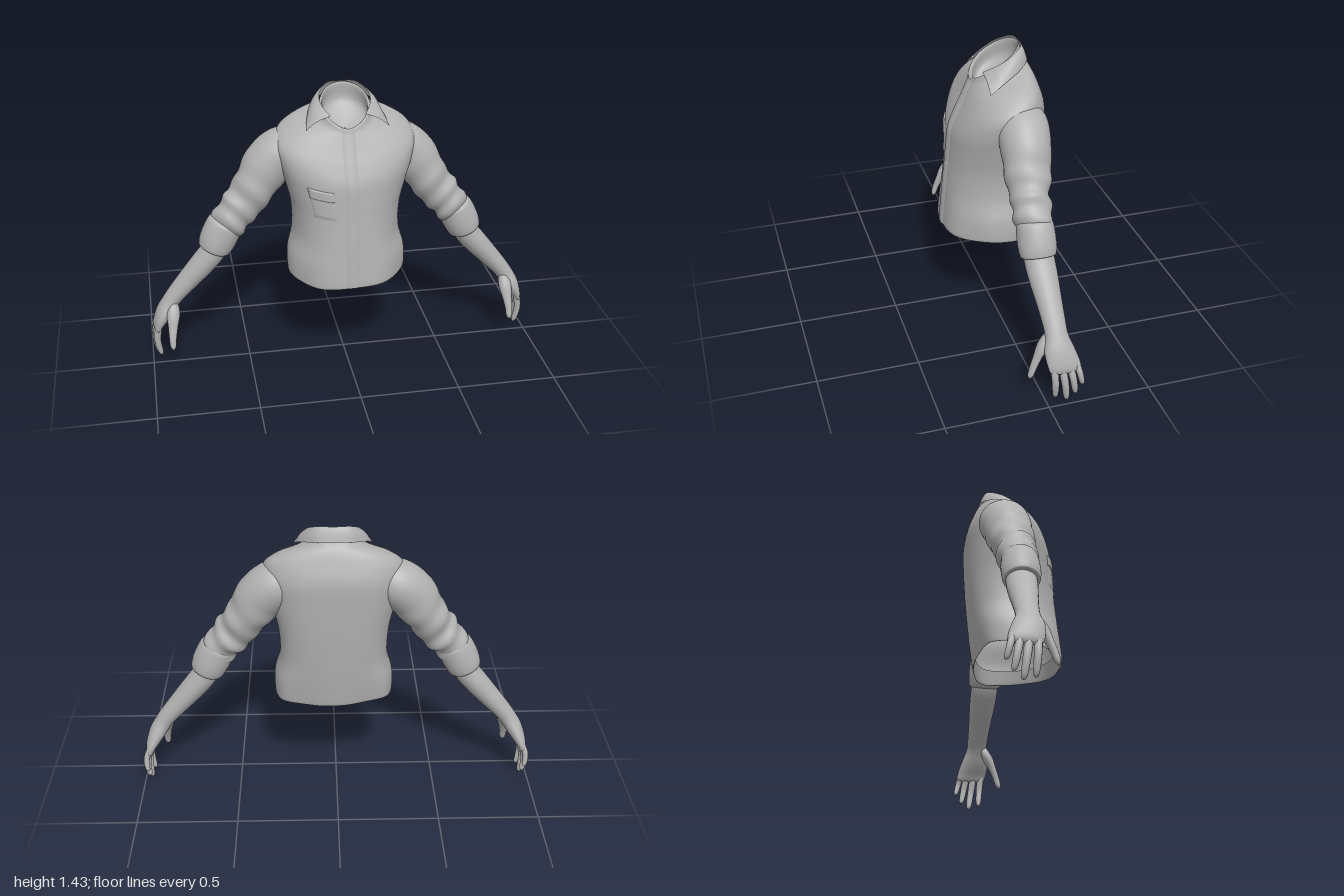
import * as THREE from 'three';

const cloth = new THREE.MeshStandardMaterial({ color: 0xb2b2b2, side: THREE.DoubleSide });
cloth.name = 'plain grey';

// Smooth interpolation through rows of numbers; t runs from 0 to rows.length - 1
function sample(rows, t) {
  const n = rows.length - 1;
  const i = Math.min(Math.floor(t), n - 1), f = t - i;
  const row = (k) => rows[Math.max(0, Math.min(n, k))];
  return rows[i].map((b, c) => {
    const a = row(i - 1)[c], d = row(i + 1)[c], e = row(i + 2)[c];
    return b + 0.5 * f * (d - a + f * (2 * a - 5 * b + 4 * d - e + f * (3 * (b - d) + e - a)));
  });
}

// Surface from a point rule over u and v in 0..1; closed joins v = 1 to v = 0
function surface(name, point, nu, nv, closed = false) {
  const pos = [], idx = [], cols = closed ? nv : nv + 1;
  for (let i = 0; i <= nu; i++) {
    for (let j = 0; j < cols; j++) pos.push(...point(i / nu, j / nv));
  }
  for (let i = 0; i < nu; i++) {
    for (let j = 0; j < nv; j++) {
      const k = (j + 1) % cols;
      const a = i * cols + j, b = i * cols + k, c = a + cols, d = b + cols;
      idx.push(a, c, b, b, c, d);
    }
  }
  const g = new THREE.BufferGeometry();
  g.setAttribute('position', new THREE.Float32BufferAttribute(pos, 3));
  g.setIndex(idx);
  g.computeVertexNormals();
  const mesh = new THREE.Mesh(g, cloth);
  mesh.name = name;
  return mesh;
}

// Limb through rows of [x, y, z, radius across, radius in z]; side mirrors it
function limb(name, rows, side, nu = 40, nv = 28, fold = () => 0) {
  const n = rows.length - 1;
  return surface(name, (u, v) => {
    const t = u * n, a = -side * v * Math.PI * 2;
    const [x, y, z, ru, rv] = sample(rows, t);
    const p = sample(rows, Math.max(0, t - 0.3)), q = sample(rows, Math.min(n, t + 0.3));
    const dx = q[0] - p[0], dy = q[1] - p[1], len = Math.hypot(dx, dy) || 1;
    const w = fold(t, a), c = Math.cos(a) * (ru + w), s = Math.sin(a) * (rv + w);
    return [side * (x - dy / len * c), y + dx / len * c, z + s];
  }, nu, nv, true);
}

// Torso sections: half width, y front, y back, z front, z back, squareness of the back
const torsoRows = [
  [0.275, 0.56, 0.56, 0.222, -0.175, 0.8],
  [0.292, 0.485, 0.49, 0.243, -0.182, 0.8],
  [0.299, 0.50, 0.50, 0.249, -0.19, 0.8],
  [0.297, 0.59, 0.60, 0.24, -0.205, 0.78],
  [0.27, 0.70, 0.72, 0.228, -0.22, 0.75],
  [0.275, 0.82, 0.88, 0.214, -0.235, 0.72],
  [0.307, 0.92, 1.04, 0.204, -0.244, 0.72],
  [0.338, 1.01, 1.17, 0.193, -0.246, 0.75],
  [0.342, 1.09, 1.265, 0.163, -0.218, 0.8],
  [0.268, 1.165, 1.32, 0.128, -0.195, 0.85],
  [0.175, 1.22, 1.345, 0.104, -0.177, 0.9],
  [0.135, 1.245, 1.37, 0.093, -0.165, 1],
  [0.122, 1.265, 1.425, 0.085, -0.152, 1],
  [0.11, 1.258, 1.42, 0.072, -0.142, 1],
  [0.112, 1.21, 1.34, 0.06, -0.14, 1],
  [0.07, 1.2, 1.28, 0.03, -0.09, 1],
  [0.001, 1.23, 1.23, -0.029, -0.031, 1],
];

function torsoPoint(t, a, lift = 0) {
  const [hw, yF, yB, zF, zB, back] = sample(torsoRows, t);
  const c = Math.cos(a), s = Math.sin(a), p = s > 0 ? 0.93 : back, zm = -0.03;
  const x = Math.sign(c) * Math.abs(c) ** p * hw;
  const z = zm + Math.sign(s) * Math.abs(s) ** p * (s > 0 ? zF - zm : zm - zB);
  const f = Math.max(0, (zF - z) / (zF - zB)) ** 0.7;
  const low = Math.max(0, 1 - Math.abs(t - 2) / 2.5);
  const wave = low * (0.009 * Math.sin(2 * a + 0.6) + 0.004 * Math.sin(5 * a));
  const drape = low * 0.004 * Math.sin(7 * a);
  return [0.013 + x + c * (drape + lift), yF + (yB - yF) * f + wave, z + s * (drape + lift)];
}

function buildShirt(group) {
  // Body, closed by a panel inside the neck
  group.add(surface('shirtBody', (u, v) => torsoPoint(u * 16, v * Math.PI * 2), 96, 96, true));

  // Button flap: a raised strip whose edges turn back into the shirt
  const lifts = [-0.004, 0.006, 0.006, 0.006, -0.004];
  group.add(surface('buttonFlap', (u, v) => {
    const t = 1.6 + u * 10.2;
    const w = 0.034 / sample(torsoRows, t)[0];
    return torsoPoint(t, Math.PI / 2 + w * (1.1 - v * 2), lifts[Math.round(v * 4)]);
  }, 60, 4));

  // Chest pocket and its flap
  const patch = (name, t0, t1, lift) => surface(name, (u, v) => {
    const edge = u === 0 || u === 1 || v === 0 || v === 1;
    return torsoPoint(t0 + (t1 - t0) * u, 1.82 + 0.46 * v, edge ? -0.003 : lift);
  }, 12, 12);
  group.add(patch('chestPocket', 5.1, 6.5, 0.004));
  group.add(patch('pocketFlap', 6.05, 6.6, 0.008));

  // Folded collar, from the middle of the back to each front tip
  const top = [[0, 1.433, -0.155], [0.075, 1.43, -0.14], [0.122, 1.395, -0.07],
    [0.118, 1.36, -0.005], [0.085, 1.325, 0.05]];
  const fall = [[0, 1.365, -0.183], [0.09, 1.36, -0.169], [0.16, 1.338, -0.105],
    [0.19, 1.298, -0.025], [0.206, 1.253, 0.046]];
  group.add(surface('collar', (u, v) => {
    const j = u * 2 - 1, t = Math.abs(j) * 4;
    const a = sample(top, t), b = sample(fall, t);
    const p = a.map((n, i) => n + (b[i] - n) * v);
    const puff = 0.008 * Math.sin(v * Math.PI);
    return [0.015 + Math.sign(j) * (p[0] + puff * Math.min(1, t)), p[1] + puff, p[2]];
  }, 64, 8));
}

function buildArm(side) {
  const arm = new THREE.Group();
  arm.name = side > 0 ? 'leftArm' : 'rightArm';

  // Sleeve with slanting, uneven folds that gather towards the elbow
  const fold = (t, a) => Math.min(1, Math.max(0, (t - 1.8) / 2.5))
    * (0.006 * Math.sin(t * 6 + 2 * Math.sin(a + 0.5)) + 0.004 * Math.sin(t * 3.5 - 2 * a));
  arm.add(limb('sleeve', [
    [0.2, 1.14, -0.085, 0.09, 0.1], [0.29, 1.115, -0.085, 0.118, 0.124],
    [0.365, 1.05, -0.08, 0.123, 0.122], [0.432, 0.95, -0.07, 0.11, 0.112],
    [0.495, 0.86, -0.06, 0.1, 0.098], [0.553, 0.79, -0.055, 0.097, 0.09],
    [0.6, 0.72, -0.053, 0.08, 0.08],
  ], side, 70, 40, fold));

  // Rolled cuff
  arm.add(limb('cuff', [
    [0.582, 0.77, -0.053, 0.06, 0.06], [0.588, 0.758, -0.053, 0.086, 0.084],
    [0.605, 0.725, -0.053, 0.094, 0.09], [0.632, 0.67, -0.053, 0.093, 0.092],
    [0.65, 0.63, -0.053, 0.086, 0.088], [0.656, 0.616, -0.053, 0.076, 0.08],
    [0.658, 0.612, -0.053, 0.05, 0.06],
  ], side, 42, 32));

  // Forearm running into the palm
  arm.add(limb('forearmAndPalm', [
    [0.62, 0.69, -0.055, 0.06, 0.07], [0.66, 0.605, -0.055, 0.064, 0.073],
    [0.72, 0.53, -0.058, 0.062, 0.07], [0.79, 0.45, -0.062, 0.055, 0.061],
    [0.855, 0.375, -0.065, 0.047, 0.055], [0.892, 0.325, -0.066, 0.044, 0.055],
    [0.928, 0.265, -0.07, 0.042, 0.073], [0.958, 0.205, -0.083, 0.03, 0.079],
    [0.967, 0.17, -0.09, 0.018, 0.07], [0.968, 0.16, -0.09, 0.001, 0.02],
  ], side, 60, 28));

  // Four fingers: z at the knuckle, then x, y and z at the tip
  const fingers = [[-0.032, 0.955, 0.022, -0.045], [-0.07, 0.966, 0.004, -0.098],
    [-0.107, 0.972, 0.037, -0.139], [-0.14, 0.975, 0.085, -0.171]];
  fingers.forEach(([z, x, y, zt], i) => {
    const r = [0.018, 0.019, 0.018, 0.016][i];
    const at = (f, k, bend = 0) => [0.957 + (x - 0.957) * f + bend, 0.215 + (y - 0.215) * f, z + (zt - z) * f, r * k, r * k];
    arm.add(limb('finger', [at(0, 0.9), at(0.3, 1, 0.012), at(0.55, 0.95, 0.016),
      at(0.8, 0.85, 0.009), at(0.95, 0.6, 0.002), at(1, 0.03)], side, 20, 12));
  });

  // Thumb
  arm.add(limb('thumb', [
    [0.875, 0.345, -0.045, 0.018, 0.025], [0.882, 0.285, -0.01, 0.034, 0.032],
    [0.889, 0.22, 0.023, 0.025, 0.022], [0.894, 0.168, 0.045, 0.019, 0.018],
    [0.895, 0.125, 0.058, 0.015, 0.014], [0.895, 0.106, 0.062, 0.001, 0.001],
  ], side, 24, 14));
  return arm;
}

export function createModel() {
  const model = new THREE.Group();
  model.name = 'shirtWithArms';
  buildShirt(model);
  for (const side of [1, -1]) model.add(buildArm(side));
  return model;
}
